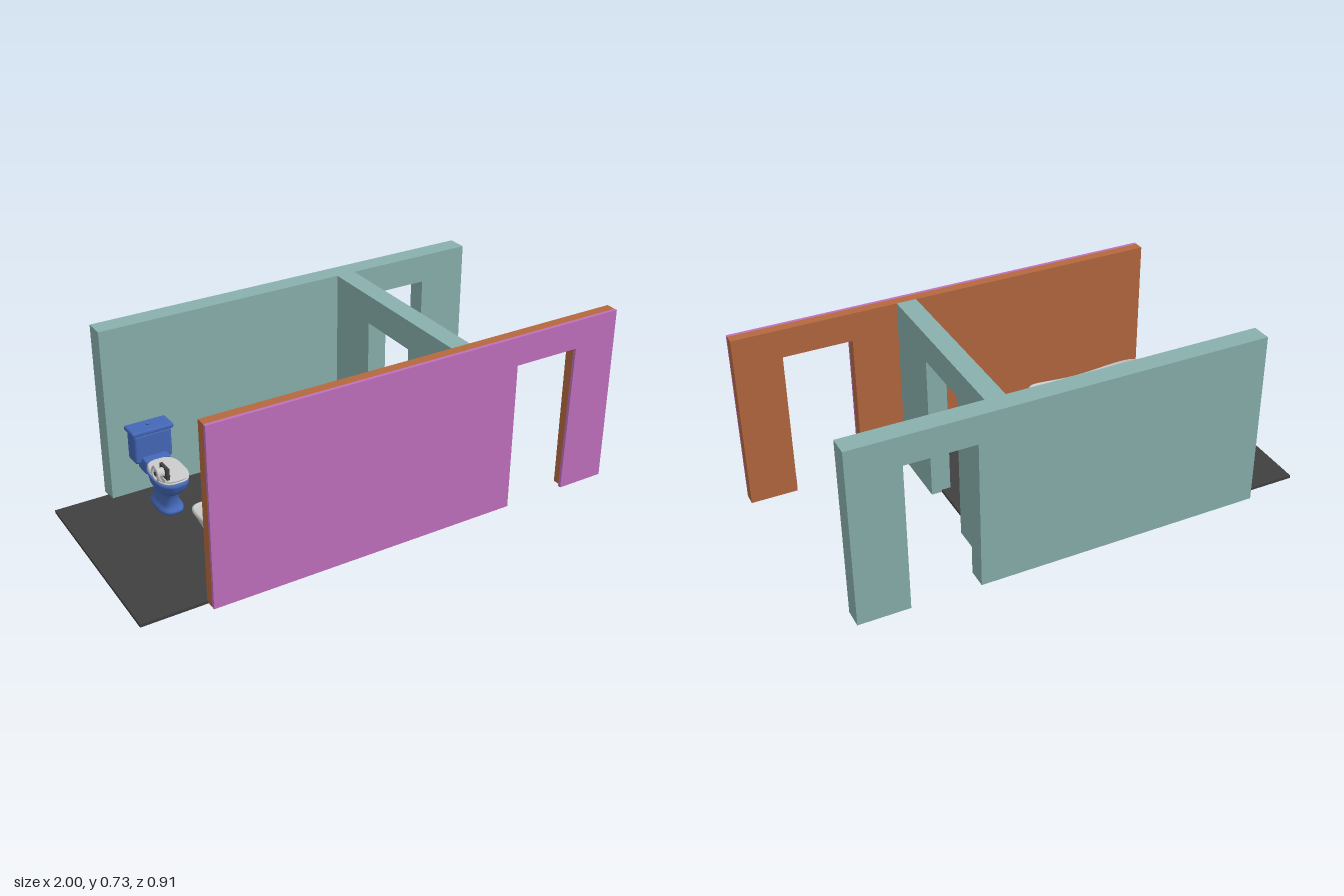
import * as THREE from 'three';
import { RoundedBoxGeometry } from 'three/addons/geometries/RoundedBoxGeometry.js';

const mat = (color, extra = {}) => new THREE.MeshStandardMaterial({ color, ...extra });
const teal = mat(0x88b0ac), purple = mat(0xc070be), orange = mat(0xb5683f);
const dark = mat(0x404040), blue = mat(0x4468b8), grey = mat(0xcccccc);
const greyTwoSided = mat(0xcccccc, { side: THREE.DoubleSide });

function add(parent, name, geometry, material, x = 0, y = 0, z = 0) {
  const mesh = new THREE.Mesh(geometry, material);
  mesh.name = name;
  mesh.position.set(x, y, z);
  parent.add(mesh);
  return mesh;
}

function extrude(points, depth) {
  const shape = new THREE.Shape(points.map(([x, y]) => new THREE.Vector2(x, y)));
  return new THREE.ExtrudeGeometry(shape, { depth, bevelEnabled: false });
}

// Wall panel with a doorway reaching the ground; the right jamb may lean
function wall(x0, x1, d0, d1, depth, doorTop = 0.612, d1Top = d1) {
  return extrude([[x0, 0.002], [d0, 0.002], [d0, doorTop], [d1Top, doorTop],
    [d1, 0.002], [x1, 0.002], [x1, 0.728], [x0, 0.728]], depth);
}

// Skin through superellipse rings { y, hx, hz, cz, n, lift }; lift raises the x ends
function loft(rings, segments = 48) {
  const pos = [], index = [];
  for (const { y, hx, hz, cz = 0, n = 2.5, lift = 0 } of rings) {
    for (let i = 0; i < segments; i++) {
      const a = (i / segments) * Math.PI * 2, c = Math.cos(a), s = Math.sin(a);
      const px = Math.sign(c) * Math.abs(c) ** (2 / n);
      const pz = Math.sign(s) * Math.abs(s) ** (2 / n);
      pos.push(hx * px, y + lift * px * px, cz + hz * pz);
    }
  }
  for (let r = 0; r < rings.length - 1; r++) {
    for (let i = 0; i < segments; i++) {
      const j = (i + 1) % segments, a = r * segments, b = a + segments;
      index.push(a + i, b + i, a + j, a + j, b + i, b + j);
    }
  }
  const g = new THREE.BufferGeometry();
  g.setAttribute('position', new THREE.Float32BufferAttribute(pos, 3));
  g.setIndex(index);
  g.computeVertexNormals();
  return g;
}

function buildWalls(root) {
  const walls = new THREE.Group();
  walls.name = 'walls';
  add(walls, 'frontWallOuter', wall(-0.74, 1, 0.535, 0.80, 0.013, 0.612, 0.812), purple, 0, 0, 0.444);
  add(walls, 'frontWallInner', wall(-0.74, 1, 0.535, 0.812, 0.04), orange, 0, 0, 0.404);
  add(walls, 'backWall', wall(-0.76, 0.888, 0.41, 0.685, 0.08), teal, 0, 0, -0.455);
  // Cross wall: drawn along z, turned to stand across the room
  const cross = wall(-0.404, 0.376, -0.135, 0.14, 0.08).rotateY(Math.PI / 2);
  add(walls, 'crossWall', cross, teal, 0.268, 0, 0);
  root.add(walls);
}

function buildToilet() {
  const toilet = new THREE.Group();
  toilet.name = 'toilet';
  // Bowl and foot: y, half width, back z, front z
  const rows = [[0.028, 0, -0.2, -0.2], [0.028, 0.05, -0.29, -0.12], [0.041, 0.05, -0.29, -0.12],
    [0.043, 0.042, -0.285, -0.133], [0.06, 0.036, -0.28, -0.14], [0.1, 0.034, -0.28, -0.139],
    [0.112, 0.042, -0.28, -0.122], [0.128, 0.052, -0.28, -0.102], [0.15, 0.058, -0.28, -0.087],
    [0.166, 0.061, -0.28, -0.084], [0.167, 0.064, -0.28, -0.08], [0.18, 0.064, -0.28, -0.08],
    [0.181, 0, -0.18, -0.18]];
  const bowl = loft(rows.map(([y, hx, b, f]) => ({ y, hx, hz: (f - b) / 2, cz: (f + b) / 2, n: 2.8 })));
  add(toilet, 'bowl', bowl, blue);
  // Closed seat and lid
  for (const [name, y, h] of [['seat', 0.184, 0.007], ['lid', 0.192, 0.011]]) {
    const edge = { cz: -0.174, n: 3 };
    add(toilet, name, loft([
      { ...edge, y, hx: 0, hz: 0 }, { ...edge, y, hx: 0.061, hz: 0.09 },
      { ...edge, y: y + h * 0.3, hx: 0.064, hz: 0.093 },
      { ...edge, y: y + h * 0.7, hx: 0.064, hz: 0.093 },
      { ...edge, y: y + h, hx: 0.059, hz: 0.088 }, { ...edge, y: y + h, hx: 0, hz: 0 },
    ]), grey);
  }
  // Cistern
  add(toilet, 'cisternNeck', new RoundedBoxGeometry(0.108, 0.06, 0.07, 3, 0.008), blue, 0, 0.175, -0.297);
  add(toilet, 'cistern', new RoundedBoxGeometry(0.158, 0.125, 0.072, 3, 0.012), blue, 0, 0.24, -0.332);
  add(toilet, 'cisternLid', new RoundedBoxGeometry(0.174, 0.02, 0.084, 3, 0.008), blue, 0, 0.31, -0.332);
  add(toilet, 'flushButton', new THREE.CylinderGeometry(0.01, 0.01, 0.006, 20), blue, 0, 0.322, -0.335);
  toilet.position.x = -0.606;
  return toilet;
}

function buildBathtub() {
  const tub = new THREE.Group();
  tub.name = 'bathtub';
  // Outside up to the saddle rim, then down the inside
  const shell = loft([
    { y: 0.025, hx: 0, hz: 0 }, { y: 0.025, hx: 0.165, hz: 0.085 },
    { y: 0.035, hx: 0.178, hz: 0.094 }, { y: 0.08, hx: 0.2, hz: 0.107, lift: 0.008 },
    { y: 0.14, hx: 0.228, hz: 0.119, lift: 0.028 }, { y: 0.185, hx: 0.257, hz: 0.127, lift: 0.048 },
    { y: 0.201, hx: 0.27, hz: 0.132, lift: 0.055 }, { y: 0.208, hx: 0.27, hz: 0.131, lift: 0.058 },
    { y: 0.209, hx: 0.262, hz: 0.124, lift: 0.058 }, { y: 0.2, hx: 0.255, hz: 0.119, lift: 0.054 },
    { y: 0.14, hx: 0.219, hz: 0.11, lift: 0.028 }, { y: 0.08, hx: 0.187, hz: 0.1, lift: 0.006 },
    { y: 0.057, hx: 0.17, hz: 0.09 }, { y: 0.05, hx: 0.14, hz: 0.073 }, { y: 0.048, hx: 0, hz: 0 },
  ], 64);
  add(tub, 'tubShell', shell, greyTwoSided);
  add(tub, 'drain', new THREE.CylinderGeometry(0.01, 0.01, 0.004, 20), dark, 0, 0.052, -0.066);
  const overflow = new THREE.CylinderGeometry(0.009, 0.009, 0.006, 20).rotateX(Math.PI / 2);
  add(tub, 'overflow', overflow, dark, 0, 0.172, -0.114);
  tub.position.set(-0.427, 0, 0.254);
  return tub;
}

function buildPaperHolder() {
  const holder = new THREE.Group();
  holder.name = 'paperHolder';
  add(holder, 'backPlate', new THREE.BoxGeometry(0.012, 0.047, 0.06), dark, -0.672, 0.274, -0.053);
  add(holder, 'plateLip', new THREE.BoxGeometry(0.008, 0.004, 0.044), dark, -0.664, 0.262, -0.053);
  add(holder, 'plateFoot', new THREE.BoxGeometry(0.012, 0.016, 0.042), grey, -0.676, 0.243, -0.053);
  const disc = new THREE.CylinderGeometry(0.018, 0.018, 0.03, 28).rotateZ(Math.PI / 2);
  add(holder, 'roll', disc, grey, -0.693, 0.275, -0.053);
  const ring = new THREE.TorusGeometry(0.027, 0.005, 10, 32).rotateY(Math.PI / 2);
  add(holder, 'ring', ring, grey, -0.708, 0.276, -0.053);
  const core = new THREE.CylinderGeometry(0.008, 0.008, 0.036, 20).rotateZ(Math.PI / 2);
  add(holder, 'rollCore', core, dark, -0.694, 0.275, -0.053);
  return holder;
}

export function createModel() {
  const root = new THREE.Group();
  root.name = 'bathroom';
  // Floor slab, a little out of square on its open end
  const floor = extrude([[-1, -0.416], [0.305, -0.405], [0.305, 0.405], [-0.985, 0.411]], 0.012);
  add(root, 'floor', floor.rotateX(-Math.PI / 2), dark);
  buildWalls(root);
  root.add(buildToilet(), buildBathtub(), buildPaperHolder());
  return root;
}
